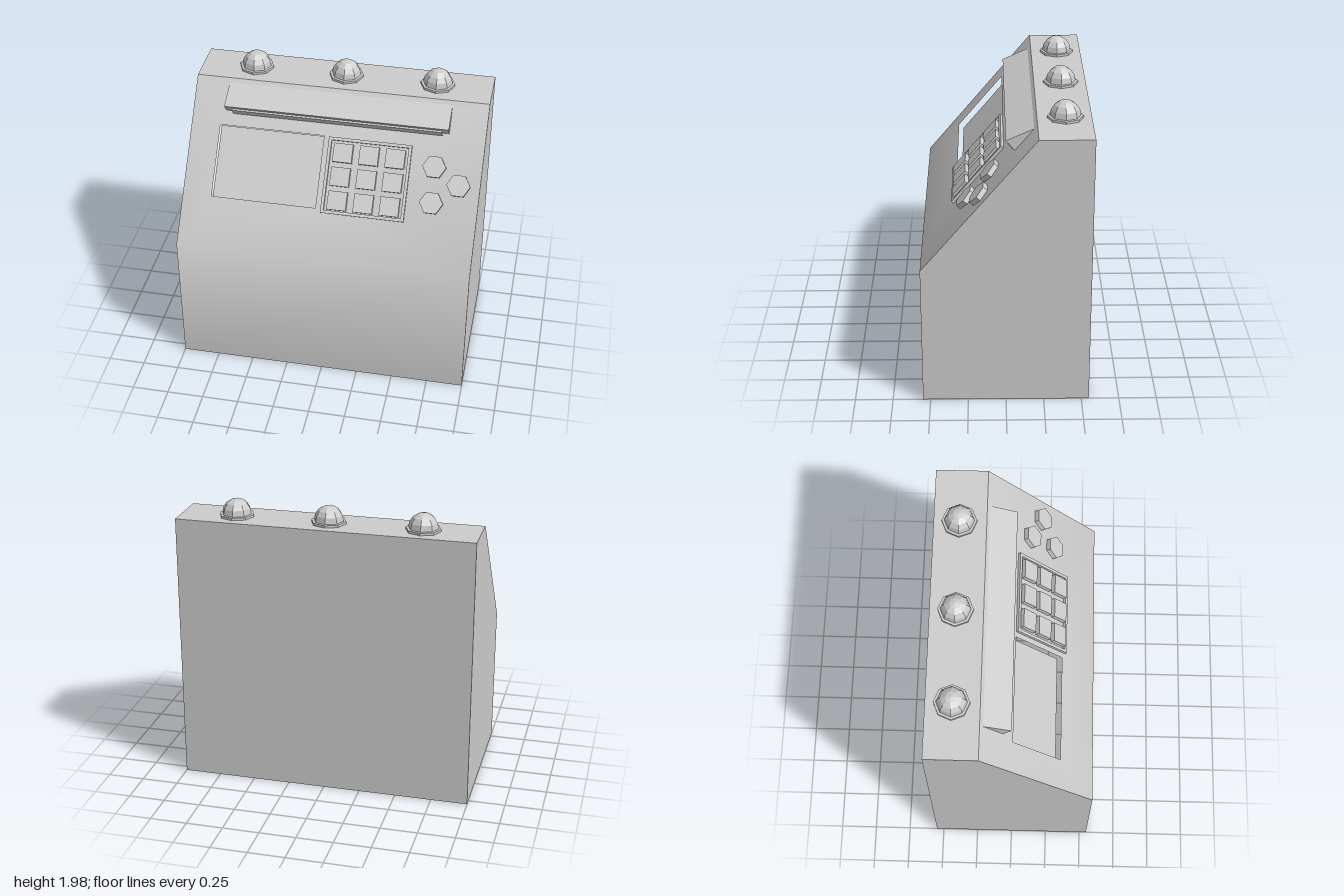
import * as THREE from 'three';
import { mergeGeometries, toCreasedNormals } from 'three/addons/utils/BufferGeometryUtils.js';

const grey = new THREE.MeshStandardMaterial({ color: 0xcccccc });
const faceted = new THREE.MeshStandardMaterial({ color: 0xcccccc, flatShading: true });

// side profile as [z, y]: bend is where the front turns into the sloping panel
const BEND = [0.55, 0.96], CREST = [-0.2, 1.86];
const PROFILE = [[-0.55, 0], [0.55, 0], BEND, CREST, [-0.55, 1.86]];
const TILT = Math.atan2(BEND[0] - CREST[0], CREST[1] - BEND[1]);
const SLOPE = Math.hypot(BEND[0] - CREST[0], CREST[1] - BEND[1]);

function part(name, geometry, parent, material = grey) {
  const mesh = new THREE.Mesh(geometry, material);
  mesh.name = name;
  parent.add(mesh);
  return mesh;
}

function rect(x0, x1, y0, y1, Type = THREE.Shape) {
  return new Type([[x0, y0], [x1, y0], [x1, y1], [x0, y1]].map(p => new THREE.Vector2(...p)));
}

// a four-cornered face, corners anticlockwise from outside
function quad(a, b, c, d) {
  const g = new THREE.BufferGeometry();
  g.setAttribute('position', new THREE.Float32BufferAttribute([a, b, c, a, c, d].flat(), 3));
  return g;
}

function bare(geometry) {
  const g = geometry.index ? geometry.toNonIndexed() : geometry;
  g.deleteAttribute('normal');
  g.deleteAttribute('uv');
  return g;
}

// moves panel coordinates (x, distance up the slope, height off it) into place
function ontoSlope(geometry) {
  return geometry.rotateX(-TILT).translate(0, BEND[1], BEND[0]);
}

// extrudes a [z, y] profile between two x positions
function extrudeAcross(points, x0, x1) {
  const shape = new THREE.Shape(points.map(([z, y]) => new THREE.Vector2(-z, y)));
  return new THREE.ExtrudeGeometry(shape, { depth: x1 - x0, bevelEnabled: false })
    .rotateY(Math.PI / 2).translate(x0, 0, 0);
}

// cabinet shell with the screen recess cut into its slope
function cabinetGeometry() {
  const pieces = [];
  PROFILE.forEach(([z, y], i) => {
    const [z2, y2] = PROFILE[(i + 1) % PROFILE.length];
    if (i !== 2) pieces.push(quad([-1, y, z], [1, y, z], [1, y2, z2], [-1, y2, z2]));
  });
  const side = new THREE.Shape(PROFILE.map(([z, y]) => new THREE.Vector2(-z, y)));
  pieces.push(bare(new THREE.ShapeGeometry(side).rotateY(Math.PI / 2).translate(1, 0, 0)));
  const mirrored = new THREE.Shape(PROFILE.map(([z, y]) => new THREE.Vector2(z, y)));
  pieces.push(bare(new THREE.ShapeGeometry(mirrored).rotateY(-Math.PI / 2).translate(-1, 0, 0)));

  const x0 = -0.8, x1 = -0.08, s0 = 0.355, s1 = 0.846, d = -0.042;
  const slope = rect(-1, 1, 0, SLOPE);
  slope.holes.push(rect(x0, x1, s0, s1, THREE.Path));
  pieces.push(ontoSlope(bare(new THREE.ShapeGeometry(slope))));
  const rim = [[x0, s0], [x1, s0], [x1, s1], [x0, s1]];
  rim.forEach((a, i) => {
    const b = rim[(i + 1) % 4];
    pieces.push(ontoSlope(quad([...a, d], [...b, d], [...b, 0], [...a, 0])));
  });
  pieces.push(ontoSlope(quad(...rim.map(p => [...p, d]))));
  return toCreasedNormals(mergeGeometries(pieces), THREE.MathUtils.degToRad(45));
}

export function createModel() {
  const model = new THREE.Group();
  model.name = 'controlConsole';
  part('cabinet', cabinetGeometry(), model);

  // visor over the panel with a strip tucked beneath it
  part('visor', extrudeAcross([[0, 1.755], [-0.19, 1.84], [-0.2, 1.83], [-0.062, 1.683]], -0.77, 0.755), model);
  part('visorStrip', extrudeAcross(
    [[-0.012, 1.722], [-0.028, 1.734], [-0.066, 1.684], [-0.046, 1.674]], -0.72, 0.71), model);

  const panel = new THREE.Group();
  panel.name = 'controlPanel';
  panel.position.set(0, BEND[1], BEND[0]);
  panel.rotation.x = -TILT;
  model.add(panel);

  // keypad frame and its keys
  const frame = rect(-0.043, 0.521, 0.328, 0.843);
  frame.holes.push(rect(-0.022, 0.5, 0.349, 0.822, THREE.Path));
  part('keypadFrame', new THREE.ExtrudeGeometry(frame, { depth: 0.02, bevelEnabled: false }), panel);
  for (let row = -1; row <= 1; row++) {
    for (let col = -1; col <= 1; col++) {
      part('key', new THREE.BoxGeometry(0.13, 0.127, 0.032), panel)
        .position.set(0.241 + col * 0.177, 0.58 + row * 0.161, 0.016);
    }
  }

  // hexagonal buttons
  for (const [x, s] of [[0.683, 0.716], [0.857, 0.608], [0.69, 0.475]]) {
    const hex = new THREE.CylinderGeometry(0.08, 0.08, 0.034, 6).rotateY(Math.PI / 6).rotateX(Math.PI / 2);
    part('hexButton', hex, panel, faceted).position.set(x, s, 0.017);
  }

  // domed lamps along the top
  for (const x of [-0.627, 0, 0.627]) {
    const lamp = new THREE.Group();
    lamp.name = 'lamp';
    lamp.position.set(x, 1.86, -0.38);
    part('lampBase', new THREE.CylinderGeometry(0.117, 0.117, 0.016, 8), lamp, faceted).position.y = 0.008;
    part('lampDome', new THREE.SphereGeometry(0.1, 8, 4, 0, Math.PI * 2, 0, Math.PI / 2), lamp, faceted)
      .position.y = 0.018;
    model.add(lamp);
  }
  return model;
}
